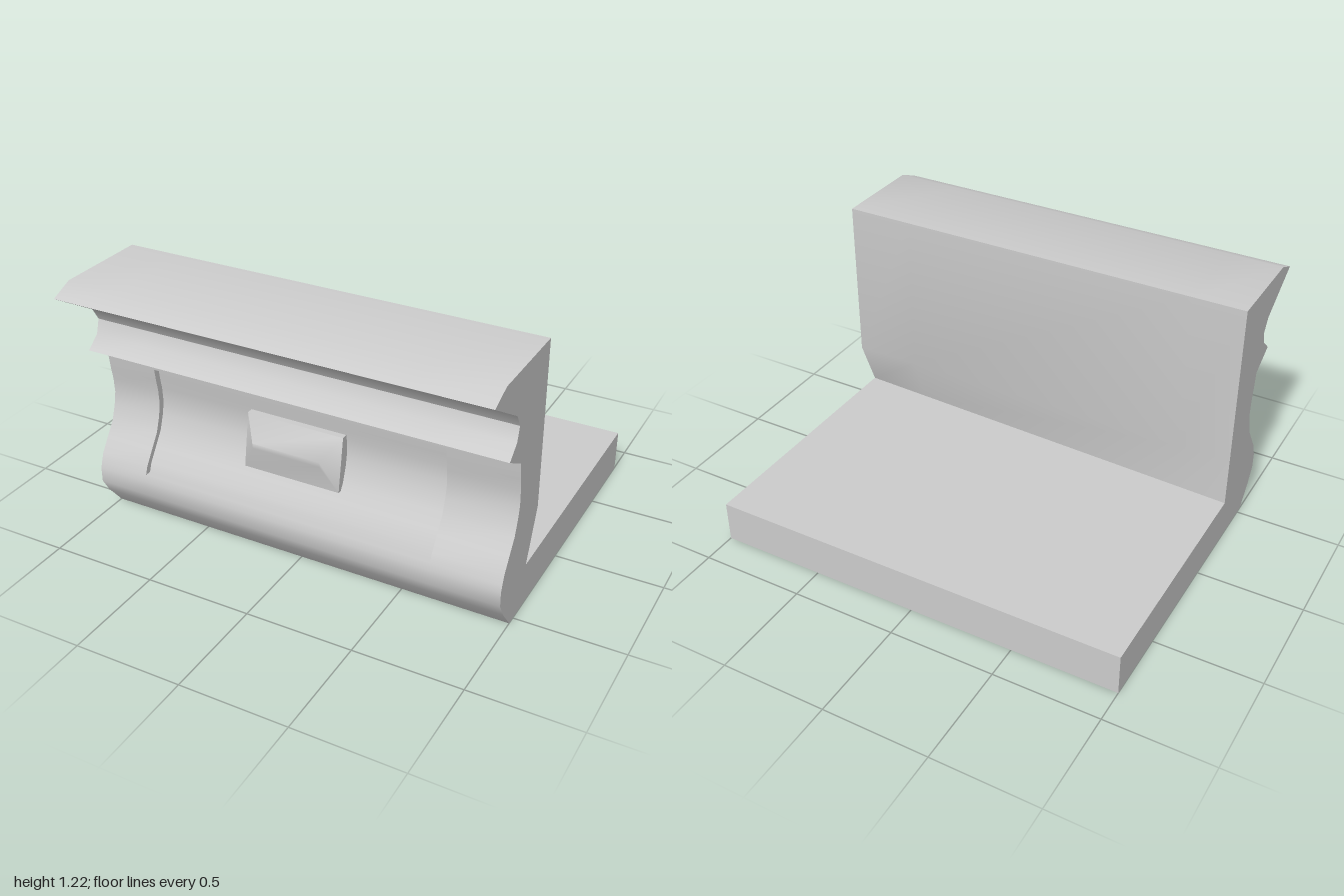
import * as THREE from 'three';
import { mergeGeometries, toCreasedNormals } from 'three/addons/utils/BufferGeometryUtils.js';

// Front moulding as [z, y], from the floor upwards
const LOWER = [[0.54, 0], [0.62, 0.1], [0.66, 0.17], [0.66, 0.24]];
const PANEL = [[0.65, 0.27], [0.635, 0.31], [0.59, 0.375], [0.545, 0.44], [0.52, 0.51],
  [0.507, 0.57], [0.51, 0.64], [0.52, 0.7], [0.527, 0.755]];
const UPPER = [[0.53, 0.78], [0.655, 0.85], [0.59, 0.905], [0.57, 0.97], [0.605, 1.03],
  [0.84, 1.175], [0.735, 1.22]];
const PANEL_X = [-0.75, 0.68];
const PANEL_DEPTH = 0.03;

// Full section at x; the foot of the back wall is undercut more towards +x
function section(x) {
  const undercut = 0.095 * (x + 1) / 2;
  return [[-0.84, 0], ...LOWER, ...PANEL, ...UPPER,
    [0.29, 1.22], [0.29, 0.44], [0.29 + undercut, 0.2], [-0.84, 0.2]];
}

const at = (x, [z, y]) => [x, y, z];

function quad(out, a, b, c, d) {
  out.push(...a, ...b, ...c, ...a, ...c, ...d);
}

function toGeometry(positions, crease) {
  const g = new THREE.BufferGeometry();
  g.setAttribute('position', new THREE.Float32BufferAttribute(positions, 3));
  return toCreasedNormals(g, crease);
}

// L-shaped body swept along x, open where the panel is sunk in
function bodyGeometry() {
  const out = [];
  const stations = [-1, ...PANEL_X, 1];
  const first = 1 + LOWER.length;
  const last = first + PANEL.length - 1;
  for (let s = 0; s < 3; s++) {
    const [x0, x1] = [stations[s], stations[s + 1]];
    const [p, q] = [section(x0), section(x1)];
    for (let i = 0; i < p.length; i++) {
      if (s === 1 && i >= first && i < last) continue;
      const j = (i + 1) % p.length;
      quad(out, at(x0, p[i]), at(x1, q[i]), at(x1, q[j]), at(x0, p[j]));
    }
  }
  // end caps
  for (const x of [-1, 1]) {
    const p = section(x);
    const faces = THREE.ShapeUtils.triangulateShape(p.map(([z, y]) => new THREE.Vector2(z, y)), []);
    for (const [a, b, c] of faces) {
      const order = x < 0 ? [a, b, c] : [a, c, b];
      for (const i of order) out.push(...at(x, p[i]));
    }
  }
  return toGeometry(out, 0.6);
}

// Sunken panel: floor following the moulding, ledges above and below, end walls
function panelGeometry() {
  const out = [];
  const [x0, x1] = PANEL_X;
  const inset = PANEL.map(([z, y]) => [z - PANEL_DEPTH, y]);
  const path = [PANEL[0], ...inset, PANEL[PANEL.length - 1]];
  for (let i = 0; i < path.length - 1; i++) {
    quad(out, at(x0, path[i]), at(x1, path[i]), at(x1, path[i + 1]), at(x0, path[i + 1]));
  }
  for (let i = 0; i < PANEL.length - 1; i++) {
    const [a, b, c, d] = [PANEL[i], inset[i], inset[i + 1], PANEL[i + 1]];
    quad(out, at(x0, a), at(x0, b), at(x0, c), at(x0, d));
    quad(out, at(x1, d), at(x1, c), at(x1, b), at(x1, a));
  }
  return toGeometry(out, 0.6);
}

// Hipped block: corner rings run bottom left, bottom right, top right, top left
function blockGeometry() {
  const ring = (xa, xb, low, high) => [at(xa, low), at(xb, low), at(xb, high), at(xa, high)];
  const back = ring(-0.27, 0.2, [0.46, 0.41], [0.46, 0.66]);
  const rim = ring(-0.27, 0.2, [0.555, 0.41], [0.512, 0.66]);
  const ridge = ring(-0.2, 0.13, [0.594, 0.54], [0.597, 0.565]);
  const sides = [], face = [];
  for (let i = 0; i < 4; i++) {
    const j = (i + 1) % 4;
    quad(sides, back[i], back[j], rim[j], rim[i]);
    quad(face, rim[i], rim[j], ridge[j], ridge[i]);
  }
  quad(face, ...ridge);
  return mergeGeometries([toGeometry(sides, 0.5), toGeometry(face, 1.1)]);
}

export function createModel() {
  const group = new THREE.Group();
  group.name = 'mouldedLedge';
  const material = new THREE.MeshStandardMaterial({ color: 0xcccccc });
  const parts = { body: bodyGeometry(), sunkenPanel: panelGeometry(), raisedBlock: blockGeometry() };
  for (const [name, geometry] of Object.entries(parts)) {
    const mesh = new THREE.Mesh(geometry, material);
    mesh.name = name;
    group.add(mesh);
  }
  return group;
}
